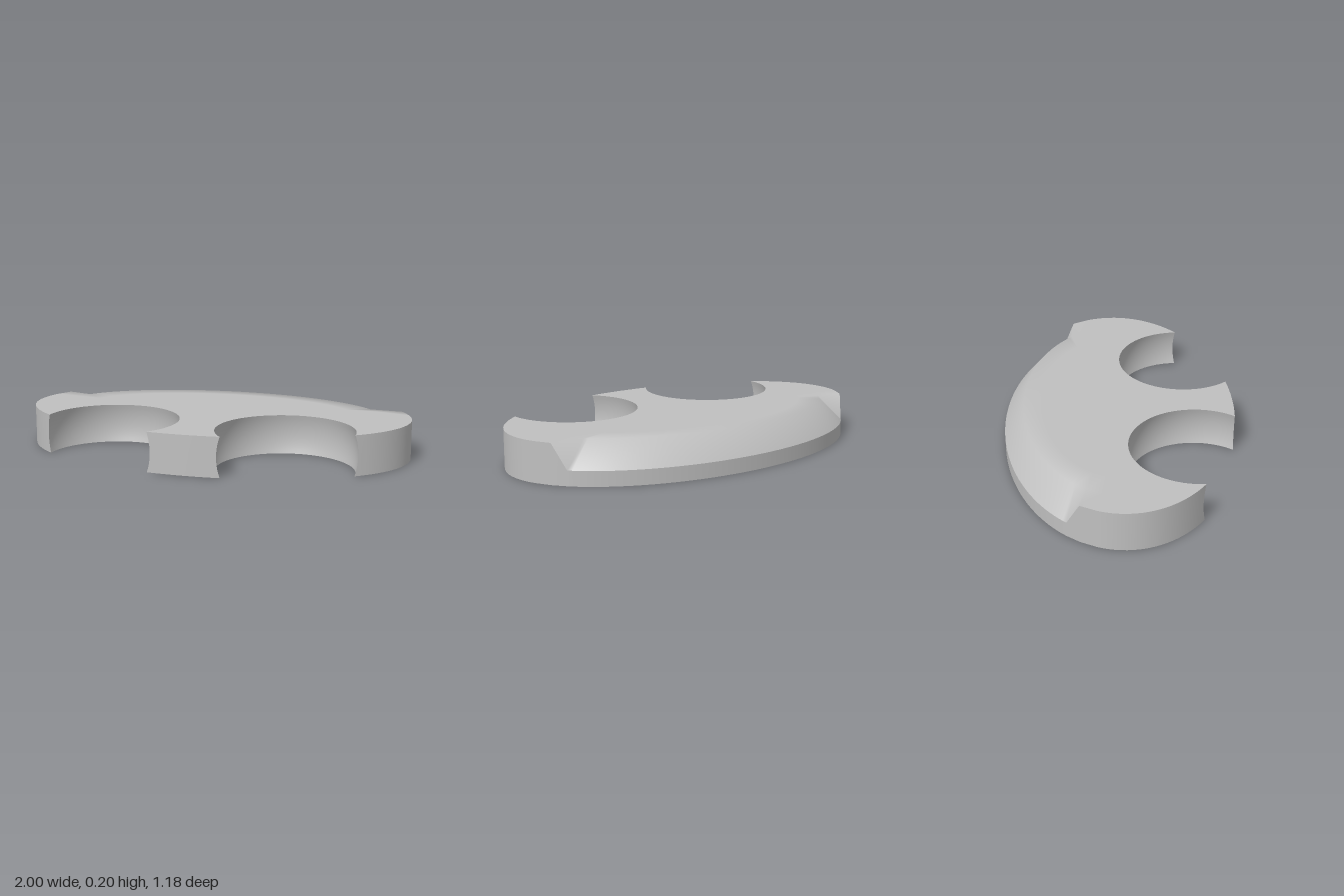
import * as THREE from 'three';

const H = 0.2, B = 0.59, RIM = 0.075;      // thickness, half depth, height of the bevelled rim
const CX = 0.445, CZ = 0.365, R = 0.354;   // spherical bites
const T = [0.14, 0.22, 0.28].map(z => Math.asin(z / B)); // where the bevel blends in, starts, is full

const lin = (a, b, n) => Array.from({ length: n + 1 }, (_, i) => a + (b - a) * i / n);
const ellipse = (t, y, a = 1, b = B) => new THREE.Vector3(a * Math.cos(t), y, -b * Math.sin(t));

// Angles of the bevelled back edge, from left to right
const bevelT = [T[0], T[1], ...lin(T[2], Math.PI - T[2], 64), Math.PI - T[1], Math.PI - T[0]];

// Upper height of the outer wall: drops quickly at both ends of the bevel
const wallTop = t => {
  const s = THREE.MathUtils.clamp((B * Math.sin(t) - 0.22) / 0.06, 0, 1);
  return H - (H - RIM) * s;
};

// Ellipse angle at distance r from the bite centre, between a far and a near angle
function meet(far, near, r) {
  for (let i = 0; i < 40; i++) {
    const m = (far + near) / 2, p = ellipse(m, 0);
    if (Math.hypot(p.x - CX, p.z - CZ) > r) far = m; else near = m;
  }
  return near;
}

// The four parts of the outline at a fraction f of the height
function outline(f) {
  const y = f * H, r = Math.sqrt(R * R - (y - H / 2) ** 2);
  const tip = meet(-0.3, -0.9, r), stem = meet(-Math.PI / 2, -1.1, r);
  const angle = t => { const p = ellipse(t, 0); return Math.atan2(p.z - CZ, p.x - CX); };
  const bite = lin(angle(tip), angle(stem) - 2 * Math.PI, 48)
    .map(a => new THREE.Vector3(CX + r * Math.cos(a), y, CZ + r * Math.sin(a)));
  const side = lin(tip, T[0], 16).slice(0, -1);
  const backT = [...side, ...bevelT, ...side.map(t => Math.PI - t).reverse()];
  return {
    sideCount: side.length,
    backWall: backT.map(t => ellipse(t, f * wallTop(t))),
    rightBite: bite.map(p => new THREE.Vector3(-p.x, p.y, p.z)),
    stemFront: lin(-Math.PI - stem, stem, 8).map(t => ellipse(t, y)),
    leftBite: bite.slice().reverse(),
  };
}

// Smooth surface through rows of points
function loft(rows) {
  const n = rows[0].length, index = [];
  for (let j = 0; j < rows.length - 1; j++)
    for (let i = 0; i < n - 1; i++) {
      const a = j * n + i, d = a + n;
      index.push(a, a + 1, d + 1, a, d + 1, d);
    }
  const g = new THREE.BufferGeometry().setFromPoints(rows.flat());
  g.setIndex(index);
  g.computeVertexNormals();
  return g;
}

// Flat face from an outline, facing up (1) or down (-1)
function cap(points, y, dir) {
  const shape = new THREE.Shape(points.map(p => new THREE.Vector2(p.x, -dir * p.z)));
  return new THREE.ShapeGeometry(shape).rotateX(-dir * Math.PI / 2).translate(0, y, 0);
}

export function createModel() {
  const group = new THREE.Group();
  group.name = 'plate';
  const grey = new THREE.MeshStandardMaterial({ color: 0xc0c0c0 });
  grey.name = 'grey';
  const add = (name, geometry) => {
    const mesh = new THREE.Mesh(geometry, grey);
    mesh.name = name;
    group.add(mesh);
  };

  // Walls all round
  const levels = lin(0, 1, 10).map(outline);
  const parts = ['backWall', 'rightBite', 'stemFront', 'leftBite'];
  for (const part of parts) add(part, loft(levels.map(l => l[part])));

  // Bevel along the back, blending softly into the top
  const blend = bevelT.map(t => ellipse(t, H, 0.72, 0.4));
  add('backBevel', loft([
    bevelT.map(t => ellipse(t, wallTop(t))),
    bevelT.map(t => ellipse(t, H, 0.86, 0.49)),
    blend,
  ]));

  // Top and bottom faces; repeated corner points are left out
  const ring = (l, back) => [back, l.rightBite, l.stemFront, l.leftBite].flatMap(s => s.slice(0, -1));
  const top = levels[10], n = top.sideCount;
  const back = [...top.backWall.slice(0, n + 1), ...blend, ...top.backWall.slice(-n - 1)];
  add('topFace', cap(ring(top, back), H, 1));
  add('bottomFace', cap(ring(levels[0], levels[0].backWall), 0, -1));
  return group;
}
